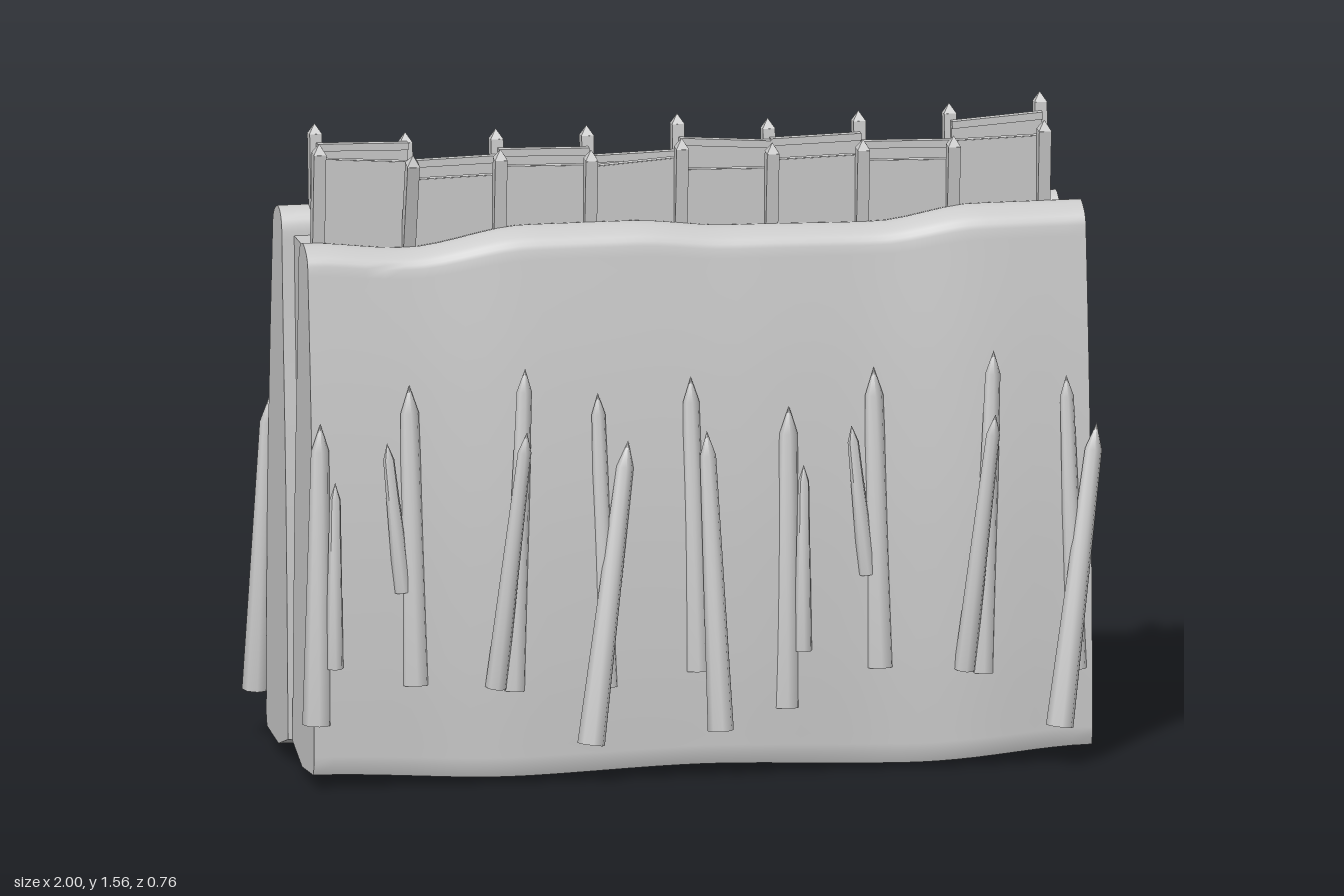
import * as THREE from 'three';
import { toCreasedNormals } from 'three/addons/utils/BufferGeometryUtils.js';

const grey = new THREE.MeshStandardMaterial({ color: 0xcccccc });

function mesh(name, geometry) {
  const m = new THREE.Mesh(geometry, grey);
  m.name = name;
  return m;
}

// Smooth interpolation through [x, value] knots
function along(knots, x) {
  let i = 0;
  while (i < knots.length - 2 && x > knots[i + 1][0]) i++;
  const [a, va] = knots[i], [b, vb] = knots[i + 1];
  return va + (vb - va) * THREE.MathUtils.smoothstep(x, a, b);
}

const crest = [[-0.95, 1.32], [-0.7, 1.3], [-0.4, 1.345], [-0.15, 1.345], [0.1, 1.325], [0.45, 1.32], [0.7, 1.355], [0.96, 1.355]];
const foot = [[-0.95, 0.025], [-0.5, 0.005], [0, 0.018], [0.5, 0], [0.96, 0.028]];
const bulge = [[-0.95, 0.95], [-0.7, 0.95], [-0.42, 1], [0.1, 0.98], [0.4, 0.95], [0.68, 1.01], [0.96, 0.96]];

// Earth wall: tapering cross-section swept along x, with an uneven crest and face
function earthWall() {
  const s = new THREE.Shape();
  s.moveTo(0.002, 0.04);
  s.lineTo(0.13, 0);
  s.lineTo(0.295, 0.012);
  s.lineTo(0.305, 0.04);
  s.splineThru([[0.302, 0.3], [0.285, 0.65], [0.252, 1.0], [0.212, 1.305]].map(p => new THREE.Vector2(...p)));
  s.quadraticCurveTo(0.205, 1.34, 0.14, 1.355);
  s.quadraticCurveTo(0.09, 1.35, 0.085, 1.3);
  s.splineThru([[0.066, 1.05], [0.034, 0.7], [0.014, 0.35], [0.002, 0.04]].map(p => new THREE.Vector2(...p)));
  const g = new THREE.ExtrudeGeometry(s, { depth: 1.91, steps: 40, bevelEnabled: false, curveSegments: 6 });
  g.rotateY(-Math.PI / 2).translate(0.96, 0, 0);
  const p = g.attributes.position;
  for (let i = 0; i < p.count; i++) {
    const x = p.getX(i), y = p.getY(i), z = p.getZ(i), t = y / 1.355;
    p.setY(i, y + (along(crest, x) - 1.355) * t ** 4 + along(foot, x) * (1 - t) ** 4);
    if (z > 0.14) p.setZ(i, 0.14 + (z - 0.14) * (1 + (along(bulge, x) - 1) * 1.8));
  }
  return mesh('earthWall', toCreasedNormals(g, 0.7));
}

// Aim a y-up object from a to b
function aim(m, a, b) {
  m.position.copy(a);
  m.quaternion.setFromUnitVectors(new THREE.Vector3(0, 1, 0), b.clone().sub(a).normalize());
  return m;
}

// Sharpened log from its base to its tip
function stake(base, tip, r) {
  const length = base.distanceTo(tip);
  const points = [[0, 0], [r, 0], [r * 0.62, length - r * 1.9], [0, length]].map(p => new THREE.Vector2(...p));
  return aim(mesh('stake', toCreasedNormals(new THREE.LatheGeometry(points, 8), 0.9)), base, tip);
}

// Stake clusters: [base x, y, z, tip x, y, z, radius], x relative to the cluster
const clusters = [
  [[0, 0.16, 0.275, 0.01, 0.9, 0.265, 0.036], [0.04, 0.3, 0.29, 0.04, 0.76, 0.3, 0.022]],
  [[0.01, 0.25, 0.275, 0, 0.985, 0.255, 0.036], [-0.02, 0.48, 0.275, -0.06, 0.85, 0.285, 0.022]],
  [[0, 0.23, 0.29, 0.03, 1.02, 0.28, 0.03], [-0.045, 0.24, 0.3, 0.02, 0.88, 0.36, 0.027]],
  [[0.02, 0.23, 0.29, 0, 0.95, 0.27, 0.027], [-0.03, 0.1, 0.345, 0.075, 0.83, 0.27, 0.034]],
  [[-0.01, 0.26, 0.285, -0.02, 0.98, 0.26, 0.032], [0.04, 0.12, 0.335, 0.015, 0.85, 0.285, 0.032]],
];

function stakeRow(order, xs) {
  const row = new THREE.Group();
  row.name = 'stakeRow';
  order.forEach((k, i) => clusters[k].forEach(([bx, by, bz, tx, ty, tz, r]) => row.add(stake(
    new THREE.Vector3(xs[i] + bx, by, bz), new THREE.Vector3(xs[i] + tx, ty, tz), r))));
  return row;
}

// Palisade: pointed posts, thin panels and a rail above each panel
const postTops = [1.54, 1.52, 1.51, 1.5, 1.52, 1.5, 1.5, 1.5, 1.53];
const panelTops = [[1.52, 1.505], [1.46, 1.465], [1.485, 1.48], [1.475, 1.49], [1.46, 1.455], [1.475, 1.48], [1.465, 1.46], [1.505, 1.51]];

function palisade(leaningPost) {
  const fence = new THREE.Group();
  fence.name = 'palisade';
  const postX = i => -0.91 + i * 0.2225;
  postTops.forEach((top, i) => {
    const h = top - 1.275;
    const body = new THREE.BoxGeometry(0.03, h, 0.034).translate(0, h / 2, 0);
    const point = new THREE.ConeGeometry(0.022, 0.025, 4).rotateY(Math.PI / 4).translate(0, h + 0.0125, 0);
    const post = new THREE.Group();
    post.name = 'post';
    post.add(mesh('postBody', body), mesh('postPoint', toCreasedNormals(point, 0.3)));
    const out = i === leaningPost ? 0.18 : 0.138;
    fence.add(aim(post, new THREE.Vector3(postX(i), 1.275, 0.115), new THREE.Vector3(postX(i), top, out)));
  });
  panelTops.forEach(([l, r], i) => {
    const x0 = postX(i), x1 = postX(i + 1);
    const s = new THREE.Shape([[x0, 1.28], [x1, 1.28], [x1, r], [x0, l]].map(p => new THREE.Vector2(...p)));
    const panel = new THREE.ExtrudeGeometry(s, { depth: 0.01, bevelEnabled: false }).translate(0, 0, 0.108);
    fence.add(mesh('panel', panel));
    const rail = mesh('rail', new THREE.BoxGeometry(Math.hypot(x1 - x0, r - l), 0.018, 0.02));
    rail.position.set((x0 + x1) / 2, (l + r) / 2 - 0.008, 0.106);
    rail.rotation.z = Math.atan2(r - l, x1 - x0);
    fence.add(rail);
  });
  return fence;
}

export function createModel() {
  const model = new THREE.Group();
  model.name = 'fortifiedWall';

  // Front and back halves; the back is turned half round
  const front = new THREE.Group();
  front.name = 'frontHalf';
  front.add(earthWall(), palisade(1),
    stakeRow([0, 1, 2, 3, 4, 0, 1, 2, 3], [-0.94, -0.71, -0.46, -0.25, 0, 0.21, 0.43, 0.69, 0.9]));
  const back = new THREE.Group();
  back.name = 'backHalf';
  back.add(earthWall(), palisade(-1),
    stakeRow([0, 1, 2, 3, 0, 1, 2, 3, 4], [-0.94, -0.72, -0.47, -0.26, 0, 0.22, 0.47, 0.68, 0.94]));
  back.rotation.y = Math.PI;

  // Walkway core between the two earth walls
  const walkway = mesh('walkway', new THREE.BoxGeometry(1.87, 1.02, 0.19));
  walkway.position.set(0.005, 0.78, 0);

  model.add(front, back, walkway);
  return model;
}
